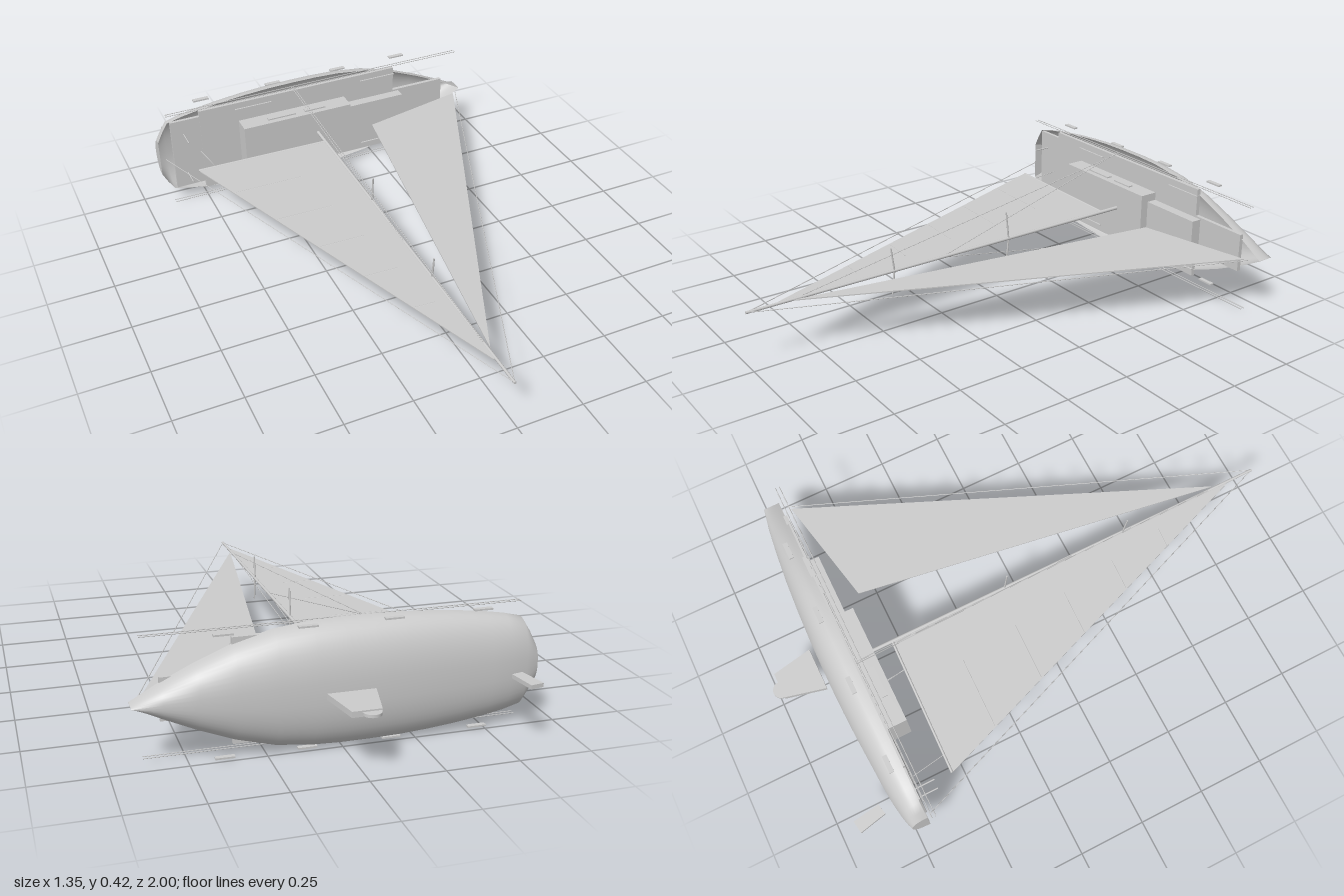
import * as THREE from 'three';

const CY = 0.213; // centre plane of the boat, which lies on its side: mast along +z, bow at +x
const mat = new THREE.MeshStandardMaterial({ color: 0xcccccc });
const matDouble = new THREE.MeshStandardMaterial({ color: 0xcccccc, side: THREE.DoubleSide });

export function createModel() {
  const model = new THREE.Group();
  const add = (name, geometry, material = mat) => {
    const mesh = new THREE.Mesh(geometry, material);
    mesh.name = name;
    model.add(mesh);
    return mesh;
  };
  // Box given by its limits; y is measured from the centre plane
  const box = (name, x0, x1, y0, y1, z0, z1) =>
    add(name, new THREE.BoxGeometry(x1 - x0, y1 - y0, z1 - z0))
      .position.set((x0 + x1) / 2, CY + (y0 + y1) / 2, (z0 + z1) / 2);
  // Round bar between two points
  const rod = (name, a, b, r0, r1 = r0, sides = 6) => {
    const p = new THREE.Vector3(a[0], CY + a[1], a[2]);
    const q = new THREE.Vector3(b[0], CY + b[1], b[2]);
    const d = q.clone().sub(p);
    const m = add(name, new THREE.CylinderGeometry(r1, r0, d.length(), sides));
    m.position.copy(p).add(q).multiplyScalar(0.5);
    m.quaternion.setFromUnitVectors(new THREE.Vector3(0, 1, 0), d.normalize());
  };
  // Flat plate in the centre plane, outline in (x, z)
  const plate = (name, points, thickness) => {
    const shape = new THREE.Shape(points.map(([x, z]) => new THREE.Vector2(x, -z)));
    const g = new THREE.ExtrudeGeometry(shape, { depth: thickness, bevelEnabled: false });
    g.rotateX(-Math.PI / 2).translate(0, CY - thickness / 2, 0);
    add(name, g);
  };

  // Hull: open shell lofted through stations [x, half beam, bottom z]
  const stations = [
    [-0.675, 0.075, -0.755], [-0.655, 0.115, -0.763], [-0.63, 0.155, -0.77], [-0.57, 0.17, -0.78],
    [-0.5, 0.182, -0.787], [-0.4, 0.195, -0.793], [-0.3, 0.204, -0.799], [-0.2, 0.21, -0.803],
    [-0.1, 0.212, -0.805], [0, 0.212, -0.805], [0.1, 0.208, -0.804], [0.22, 0.193, -0.8],
    [0.35, 0.157, -0.793], [0.47, 0.108, -0.783], [0.58, 0.055, -0.771], [0.675, 0.001, -0.755],
  ];
  const deckZ = -0.693, N = 24, pos = [], idx = [];
  const bend = (v) => Math.sign(v) * Math.pow(Math.abs(v), 0.85);
  stations.forEach(([x, half, bottom], i) => {
    for (let j = 0; j <= N; j++) {
      const t = (j / N) * Math.PI;
      pos.push(x, CY + half * bend(Math.cos(t)), deckZ + (bottom - deckZ) * bend(Math.sin(t)));
      if (i && j) {
        const b = i * (N + 1) + j, a = b - N - 1;
        idx.push(a - 1, b - 1, a, a, b - 1, b);
      }
    }
  });
  const hull = new THREE.BufferGeometry();
  hull.setAttribute('position', new THREE.Float32BufferAttribute(pos, 3));
  hull.setIndex(idx);
  hull.computeVertexNormals();
  add('hull', hull, matDouble);

  // Transom closing the stern
  const transom = new THREE.BufferGeometry();
  transom.setAttribute('position', new THREE.Float32BufferAttribute(pos.slice(0, (N + 1) * 3), 3));
  transom.setIndex(Array.from({ length: N - 1 }, (_, j) => [0, j + 1, j + 2]).flat());
  transom.computeVertexNormals();
  add('transom', transom, matDouble);

  // Deck panels and cabin
  box('aftDeck', -0.62, -0.5, -0.15, 0.155, -0.7, -0.687);
  box('mainDeck', -0.5, 0.35, -0.18, 0.18, -0.7, -0.685);
  box('foreDeck', 0.35, 0.58, -0.073, 0.073, -0.7, -0.685);
  box('cabin', -0.34, 0.123, -0.097, 0.097, -0.69, -0.613);
  box('foreCabin', 0.123, 0.375, -0.066, 0.066, -0.69, -0.645);

  // Keel with round tip, and rudder
  plate('keel', [[-0.082, -0.82], [0.08, -0.82], [0.052, -0.97], [0.015, -0.97], [-0.045, -0.97]], 0.02);
  const tip = add('keelTip', new THREE.CylinderGeometry(0.031, 0.031, 0.01, 24));
  tip.position.set(-0.012, CY, -0.969);
  plate('rudder', [[-0.607, -0.92], [-0.56, -0.928], [-0.545, -0.826], [-0.585, -0.818]], 0.014);

  // Mast, boom and sails
  rod('mast', [-0.025, 0, -0.615], [-0.025, 0, 1], 0.007, 0.005, 12);
  rod('boom', [-0.56, 0, -0.548], [-0.03, 0, -0.535], 0.005, 0.005, 10);
  plate('mainSail', [[-0.56, -0.545], [-0.03, -0.53], [-0.026, 0.88], [-0.034, 0.88]], 0.004);
  plate('jib', [[0.63, -0.66], [0.2, -0.57], [-0.018, 0.83]], 0.004);
  for (const z of [-0.34, -0.11, 0.11, 0.33, 0.55]) {
    const leech = -0.56 + (0.526 * (z + 0.545)) / 1.425;
    rod('batten', [leech + 0.005, 0, z], [leech * 0.4 - 0.015, 0, z + 0.005], 0.003);
  }

  // Stays and mainsheet
  rod('backstay', [-0.655, 0, -0.68], [-0.028, 0, 0.99], 0.0015);
  rod('forestay', [0.645, 0, -0.67], [-0.022, 0, 0.99], 0.0015);
  rod('mainsheet', [-0.51, 0, -0.68], [-0.49, 0, -0.55], 0.0015);

  // Parts mirrored on both sides of the centre plane
  for (const s of [-1, 1]) {
    rod('upperShroud', [-0.1, s * 0.2, -0.685], [-0.025, 0, 0.83], 0.0015);
    rod('lowerShroud', [-0.108, s * 0.2, -0.685], [-0.025, 0, 0.23], 0.0015);
    rod('upperSpreader', [-0.025, 0, 0.43], [-0.025, s * 0.09, 0.441], 0.004, 0.003);
    rod('lowerSpreader', [-0.025, 0, -0.073], [-0.025, s * 0.11, -0.062], 0.004, 0.003);
    for (const z of [-0.68, -0.665]) rod('guardRail', [-0.64, s * 0.202, z], [0.635, s * 0.202, z], 0.0015);
    rod('helmPost', [-0.57, s * 0.092, -0.69], [-0.57, s * 0.092, -0.615], 0.003);
    for (const x of [-0.475, -0.17, 0.115, 0.385])
      box('hullWindow', x - 0.032, x + 0.032, s * 0.205 - 0.003, s * 0.205 + 0.003, -0.742, -0.725);
    for (const [x0, x1] of [[-0.23, -0.11], [-0.07, 0.02]])
      box('cabinWindow', x0, x1, s * 0.099 - 0.003, s * 0.099 + 0.003, -0.655, -0.635);
    for (const x of [-0.275, 0.275])
      box('sheetTrack', x - 0.077, x + 0.077, s * 0.152 - 0.002, s * 0.152 + 0.002, -0.69, -0.679);
  }
  return model;
}
